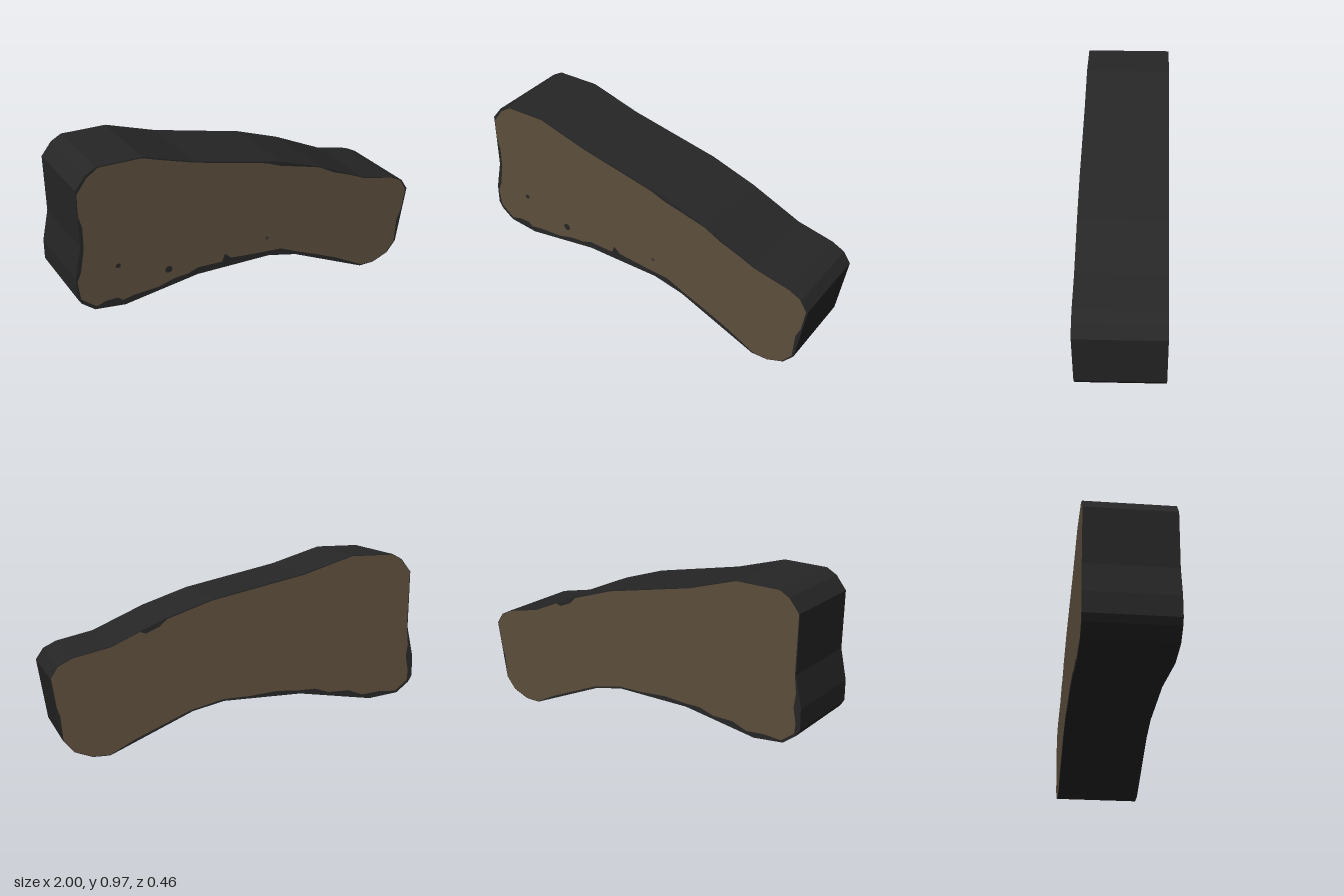
import * as THREE from 'three';

const HALF = 0.23; // half the thickness of the slab

const toPoints = (list) => list.map(([x, y]) => new THREE.Vector2(x, y));

// Silhouette of the slab, clockwise from the upper left
const outline = [
  [-0.86, 0.97], [-0.62, 0.97], [-0.345, 0.885], [0.16, 0.775], [0.41, 0.69], [0.69, 0.565],
  [0.89, 0.52], [0.96, 0.485], [1, 0.425], [0.945, 0.1], [0.89, 0.035], [0.795, 0], [0.705, 0],
  [0.265, 0.195], [0.095, 0.235], [-0.335, 0.24], [-0.745, 0.18], [-0.91, 0.2], [-0.98, 0.255],
  [-1, 0.29], [-1, 0.4], [-0.965, 0.565], [-0.97, 0.87], [-0.915, 0.94],
];

// Ragged edge of the brown face on the front
const frontFace = [
  [-0.85, 0.965], [-0.625, 0.965], [-0.53, 0.935], [-0.345, 0.88], [0.07, 0.785], [0.16, 0.75],
  [0.28, 0.72], [0.4, 0.688], [0.49, 0.64], [0.61, 0.595], [0.69, 0.56], [0.89, 0.515],
  [0.95, 0.485], [0.99, 0.42], [0.97, 0.3], [0.945, 0.24], [0.935, 0.1], [0.88, 0.035],
  [0.795, 0.003], [0.71, 0.008], [0.54, 0.098], [0.385, 0.165], [0.275, 0.21], [0.17, 0.257],
  [0, 0.27], [-0.135, 0.284], [-0.175, 0.318], [-0.19, 0.275], [-0.335, 0.28], [-0.39, 0.26],
  [-0.47, 0.254], [-0.555, 0.23], [-0.7, 0.222], [-0.76, 0.21], [-0.785, 0.232], [-0.85, 0.232],
  [-0.9, 0.215], [-0.945, 0.25], [-0.98, 0.28], [-0.992, 0.38], [-0.97, 0.43], [-0.948, 0.555],
  [-0.948, 0.67], [-0.965, 0.735], [-0.965, 0.85], [-0.91, 0.925],
];

// Ragged edge of the brown face on the back
const backFace = [
  [-0.86, 0.967], [-0.62, 0.967], [-0.345, 0.88], [0.16, 0.77], [0.4, 0.687], [0.44, 0.65],
  [0.51, 0.62], [0.54, 0.63], [0.69, 0.562], [0.89, 0.517], [0.96, 0.48], [0.995, 0.425],
  [0.97, 0.27], [0.955, 0.23], [0.942, 0.1], [0.89, 0.037], [0.795, 0.003], [0.705, 0.004],
  [0.58, 0.07], [0.28, 0.2], [0.1, 0.245], [-0.05, 0.25], [-0.2, 0.265], [-0.33, 0.258],
  [-0.42, 0.26], [-0.5, 0.235], [-0.62, 0.235], [-0.7, 0.205], [-0.8, 0.215], [-0.9, 0.21],
  [-0.97, 0.265], [-0.975, 0.32], [-0.96, 0.4], [-0.97, 0.47], [-0.96, 0.565], [-0.967, 0.87],
  [-0.913, 0.937],
];

// Small pits in the front face: x, y, half width, half height
const pits = [
  [-0.775, 0.413, 0.014, 0.013], [-0.5, 0.315, 0.021, 0.02],
  [0.083, 0.348, 0.011, 0.003], [0.083, 0.338, 0.011, 0.003],
];

export function createModel() {
  const dark = new THREE.MeshStandardMaterial({ color: 0x262626 });
  dark.name = 'dark edge';
  const brown = new THREE.MeshStandardMaterial({ color: 0x5c4e3c });
  brown.name = 'brown face';

  const model = new THREE.Group();
  model.name = 'slab';

  const add = (name, geometry, material) => {
    const mesh = new THREE.Mesh(geometry, material);
    mesh.name = name;
    model.add(mesh);
    return mesh;
  };

  // Dark body with flat facets round the rim
  const body = new THREE.ExtrudeGeometry(new THREE.Shape(toPoints(outline)), {
    depth: HALF * 2, bevelEnabled: false,
  });
  add('body', body.translate(0, 0, -HALF), dark);

  // Front face, pierced by the pits
  const front = new THREE.Shape(toPoints(frontFace));
  for (const [x, y, rx, ry] of pits) {
    const hole = new THREE.Path();
    hole.absellipse(x, y, rx, ry, 0, Math.PI * 2);
    front.holes.push(hole);
  }
  add('frontFace', new THREE.ShapeGeometry(front, 4), brown).position.z = HALF + 0.001;

  // Back face, mirrored in x and turned round to face -z
  const back = new THREE.Shape(toPoints(backFace.map(([x, y]) => [-x, y])));
  const backMesh = add('backFace', new THREE.ShapeGeometry(back), brown);
  backMesh.rotation.y = Math.PI;
  backMesh.position.z = -HALF - 0.001;

  return model;
}
